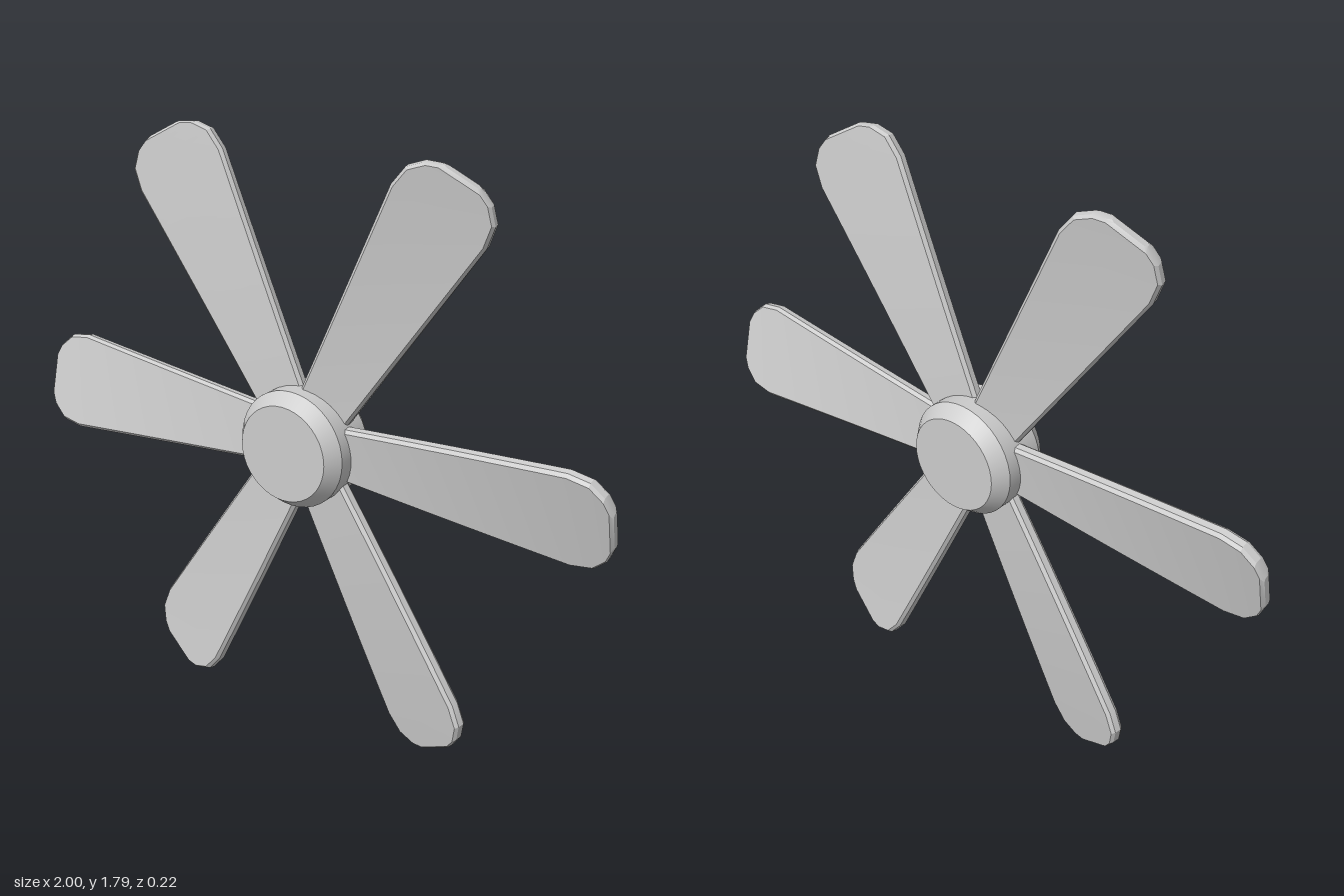
import * as THREE from 'three';
import { toCreasedNormals } from 'three/addons/utils/BufferGeometryUtils.js';

const material = new THREE.MeshStandardMaterial({ color: 0xcccccc });
const BLADES = 6;
const HUB_HEIGHT = 0.9;

// Blade running along +x: bevelled eight-sided sections, twisted towards the tip
function bladeGeometry() {
  const h = 0.021, bevel = 0.009;
  // [distance from axis, half width, half thickness]
  const sections = [[0.1, 0.082, h]];
  for (let i = 1; i <= 6; i++) {
    const t = i / 6;
    sections.push([0.1 + 0.77 * t, 0.082 + 0.07 * t, h]);
  }
  sections.push([0.935, 0.141, h], [0.975, 0.105, h], [0.99, 0.072, h], [0.998, 0.055, h / 2]);

  const positions = [], indices = [];
  for (const [r, w, t] of sections) {
    const f = w - bevel, e = t * 0.5;
    const pitch = 0.1 + 0.14 * (r - 0.1) / 0.9;
    const c = Math.cos(pitch), s = Math.sin(pitch);
    const ring = [[f, -t], [w, -e], [w, e], [f, t], [-f, t], [-w, e], [-w, -e], [-f, -t]];
    for (const [y, z] of ring) positions.push(r, y * c - z * s, y * s + z * c);
  }
  const n = 8, last = (sections.length - 1) * n;
  for (let i = 0; i < sections.length - 1; i++) {
    for (let j = 0; j < n; j++) {
      const a = i * n + j, b = i * n + (j + 1) % n;
      indices.push(a, b, b + n, a, b + n, a + n);
    }
  }
  // Close the root and the tip
  for (let j = 1; j < n - 1; j++) {
    indices.push(last, last + j, last + j + 1, 0, j + 1, j);
  }
  const geometry = new THREE.BufferGeometry();
  geometry.setAttribute('position', new THREE.Float32BufferAttribute(positions, 3));
  geometry.setIndex(indices);
  return toCreasedNormals(geometry, 0.35);
}

export function createModel() {
  const model = new THREE.Group();
  model.name = 'fan';

  // Chamfered hub on the z axis
  const profile = [[0, -0.11], [0.147, -0.11], [0.18, -0.066], [0.18, 0.066], [0.147, 0.11], [0, 0.11]]
    .map(([r, y]) => new THREE.Vector2(r, y));
  const hubGeometry = toCreasedNormals(new THREE.LatheGeometry(profile, 40), 0.4);
  hubGeometry.rotateX(Math.PI / 2);
  const hub = new THREE.Mesh(hubGeometry, material);
  hub.name = 'hub';
  hub.position.y = HUB_HEIGHT;
  model.add(hub);

  // Blades around the hub
  const geometry = bladeGeometry();
  for (let i = 0; i < BLADES; i++) {
    const blade = new THREE.Mesh(geometry, material);
    blade.name = `blade${i + 1}`;
    blade.position.y = HUB_HEIGHT;
    blade.rotation.z = (i / BLADES) * Math.PI * 2;
    model.add(blade);
  }
  return model;
}
